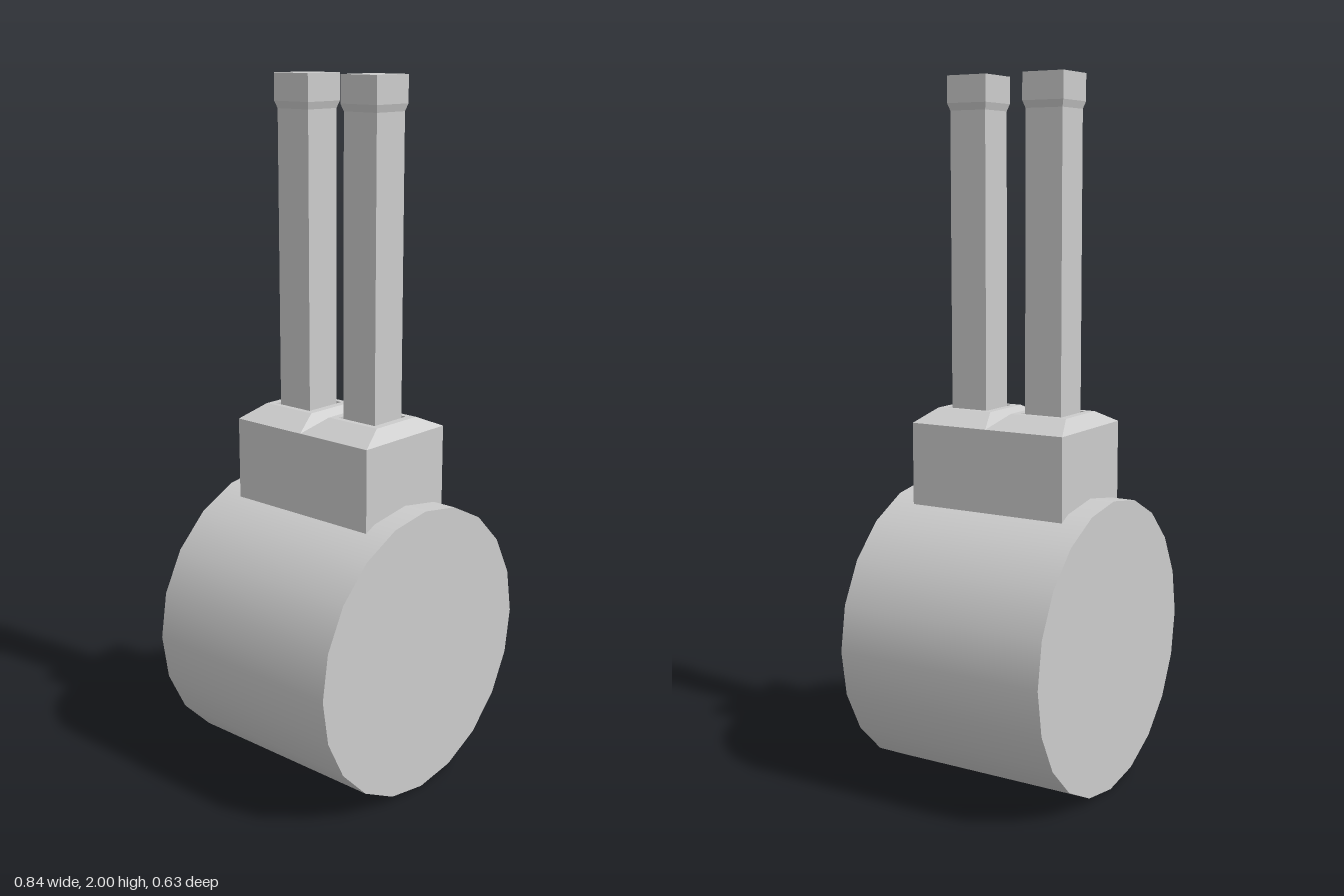
import * as THREE from 'three';

const material = new THREE.MeshStandardMaterial({ color: 0xcccccc, flatShading: true });
const smooth = new THREE.MeshStandardMaterial({ color: 0xcccccc });

// Skins a stack of rectangular rings [halfX, halfZ, y] into a flat-faced solid.
function loftRects(name, rings) {
  const corner = ([hx, hz, y], k) => {
    const [sx, sz] = [[1, 1], [1, -1], [-1, -1], [-1, 1]][k % 4];
    return [sx * hx, y, sz * hz];
  };
  const pos = [];
  for (let i = 0; i < rings.length - 1; i++) {
    const [lo, hi] = [rings[i], rings[i + 1]];
    for (let k = 0; k < 4; k++) {
      const a = corner(lo, k), b = corner(lo, k + 1), c = corner(hi, k + 1), d = corner(hi, k);
      if (lo[0] > 0) pos.push(...a, ...b, ...c);
      if (hi[0] > 0) pos.push(...a, ...c, ...d);
    }
  }
  const geometry = new THREE.BufferGeometry();
  geometry.setAttribute('position', new THREE.Float32BufferAttribute(pos, 3));
  geometry.computeVertexNormals();
  const mesh = new THREE.Mesh(geometry, material);
  mesh.name = name;
  return mesh;
}

export function createModel() {
  const group = new THREE.Group();
  group.name = 'twinPostDrum';

  // Drum lying along z, with a corner of its 20 sides at the top
  const drumGeometry = new THREE.CylinderGeometry(0.42, 0.42, 0.63, 20);
  drumGeometry.rotateX(Math.PI / 2);
  const drum = new THREE.Mesh(drumGeometry, smooth);
  drum.name = 'drum';
  drum.position.y = 0.42;
  group.add(drum);

  // Block seated on the drum
  group.add(loftRects('block', [[0, 0, 0.8], [0.165, 0.242, 0.8], [0.165, 0.242, 1.037]]));

  for (const [side, z] of [['front', 0.121], ['back', -0.121]]) {
    // Bevelled top with a square socket
    const socket = loftRects(side + 'Socket', [
      [0.165, 0.121, 1.037], [0.084, 0.0875, 1.073],
      [0.067, 0.065, 1.073], [0.067, 0.065, 0.85], [0, 0, 0.85],
    ]);
    // Square post flaring into a slightly wider head
    const post = loftRects(side + 'Post', [
      [0, 0, 0.85], [0.057, 0.057, 0.85], [0.057, 0.057, 1.905],
      [0.064, 0.063, 1.925], [0.064, 0.063, 2], [0, 0, 2],
    ]);
    socket.position.z = post.position.z = z;
    group.add(socket, post);
  }
  return group;
}
